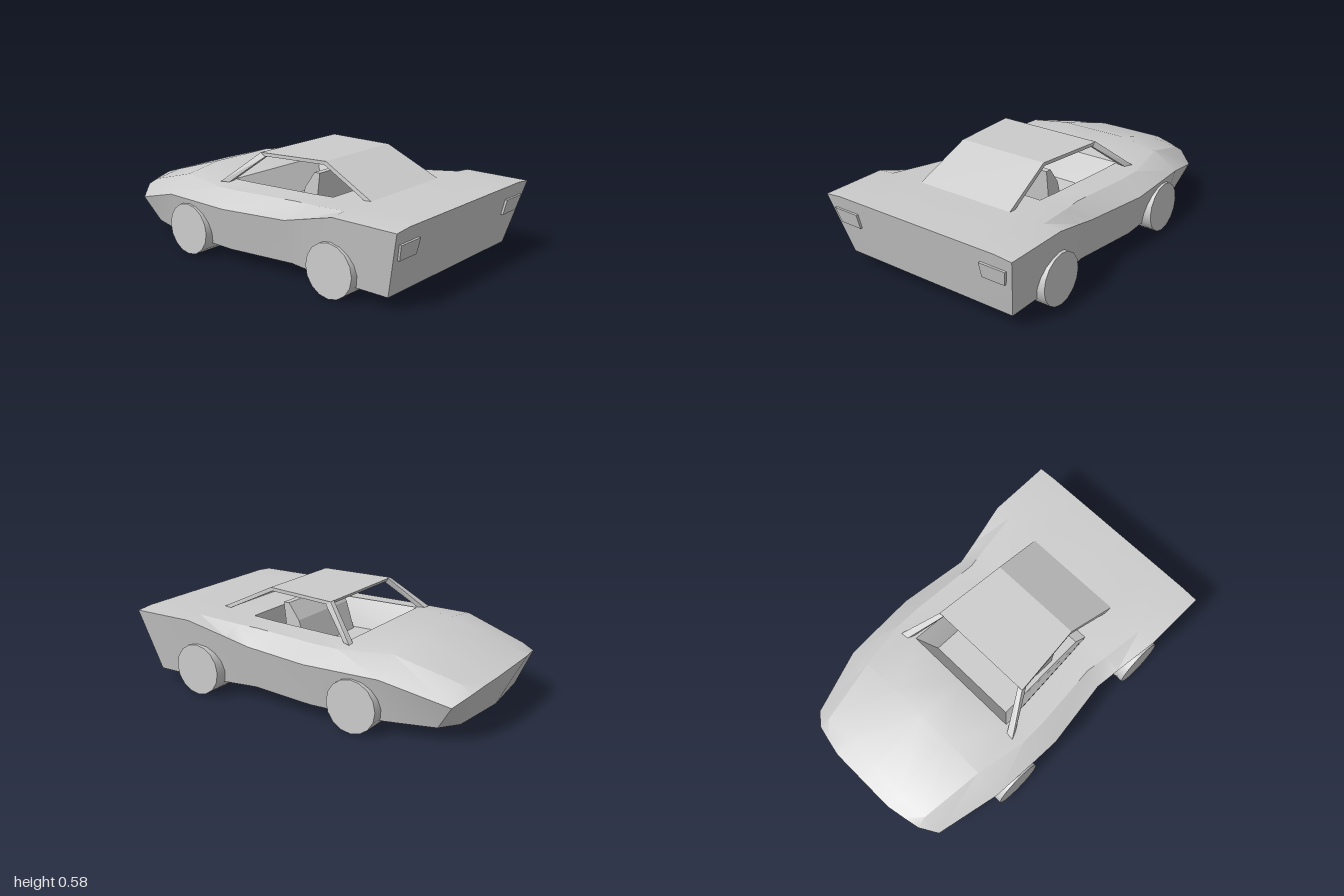
import * as THREE from 'three';
import { toCreasedNormals } from 'three/addons/utils/BufferGeometryUtils.js';
import { ConvexGeometry } from 'three/addons/geometries/ConvexGeometry.js';

const grey = () => new THREE.MeshStandardMaterial({ color: 0xcccccc });
const flip = ([x, y, z]) => [-x, y, z];

function addMesh(group, name, geometry) {
  const mesh = new THREE.Mesh(geometry, grey());
  mesh.name = name;
  group.add(mesh);
  return mesh;
}

// Convex solid around a few corners
function hull(group, name, points) {
  return addMesh(group, name, new ConvexGeometry(points.map(p => new THREE.Vector3(...p))));
}

// Collects polygons of the left half and mirrors them to the right
function mirroredSurface(build) {
  const pos = [];
  const tri = (a, b, c) => pos.push(...a, ...b, ...c, ...flip(a), ...flip(c), ...flip(b));
  build((...p) => { for (let i = 1; i < p.length - 1; i++) tri(p[0], p[i], p[i + 1]); });
  const geo = new THREE.BufferGeometry();
  geo.setAttribute('position', new THREE.Float32BufferAttribute(pos, 3));
  return toCreasedNormals(geo, 0.45);
}

// Half section: deck centre, inner deck, outer deck, shoulder, sill, floor centre
function section(z, centreY, inner, outer, shoulder, sillX, sillZ = z) {
  return [[0, centreY, z], [...inner, z], [...outer, z], [...shoulder, z],
    [sillX, 0.075, sillZ], [0, 0.075, sillZ]];
}

function bodyGeometry() {
  const s = [
    section(1, 0.432, [0.31, 0.432], [0.5, 0.432], [0.6, 0.423], 0.53, 0.91),
    section(0.63, 0.432, [0.31, 0.432], [0.5, 0.432], [0.6, 0.423], 0.53),
    section(0.4, 0.415, [0.31, 0.415], [0.47, 0.41], [0.56, 0.357], 0.5),
    section(0.27, 0.41, [0.318, 0.41], [0.45, 0.4], [0.54, 0.32], 0.48),
    section(-0.12, 0.405, [0.342, 0.405], [0.48, 0.39], [0.59, 0.312], 0.53),
    section(-0.26, 0.405, [0.35, 0.405], [0.48, 0.388], [0.585, 0.312], 0.525),
    section(-0.55, 0.435, [0.2, 0.435], [0.43, 0.4], [0.57, 0.31], 0.51),
    section(-0.9, 0.327, [0.2, 0.327], [0.38, 0.3], [0.48, 0.21], 0.44, -0.81),
  ];
  // Rounded nose tip
  s.push([[0, 0.295, -1], [0.2, 0.295, -1], [0.3, 0.28, -0.98], [0.39, 0.262, -0.96],
    [0.34, 0.075, -0.885], [0, 0.075, -0.92]]);

  return mirroredSurface(face => {
    for (let i = 0; i < s.length - 1; i++) {
      for (let k = 0; k < 5; k++) {
        if (k === 0 && i >= 2 && i <= 4) continue; // cockpit opening
        face(s[i][k], s[i][k + 1], s[i + 1][k + 1], s[i + 1][k]);
      }
    }
    const [c, n, m, e, b, d] = s[0];
    face(d, b, e, m, n, c);
    const [fc, fn, fm, fe, fb, fd] = s[s.length - 1];
    face(fd, fc, fn, fm, fe, fb);

    // Cockpit tub
    const [R0, R] = s[2], [F0, F] = s[5];
    const r = [0.26, 0.25, 0.4], f = [0.27, 0.25, -0.18];
    const r0 = [0, 0.25, 0.4], f0 = [0, 0.25, -0.18];
    face(f, r, R, F);
    face(f0, f, F, F0);
    face(r, r0, R0, R);
    face(r0, r, f, f0);
  });
}

export function createModel() {
  const car = new THREE.Group();
  car.name = 'car';
  addMesh(car, 'body', bodyGeometry());

  // Roof and sloping rear panel
  const slab = (x, y, z, low = [y - 0.02, z]) =>
    [[x, y, z], [-x, y, z], [x, ...low], [-x, ...low]];
  const brow = slab(0.31, 0.57, -0.105, [0.552, -0.095]);
  const crown = slab(0.27, 0.58, 0.315, [0.56, 0.305]);
  const tail = slab(0.295, 0.43, 0.63, [0.425, 0.59]);
  hull(car, 'roof', [...brow, ...crown]);
  hull(car, 'rearRoofPanel', [...crown, ...tail]);

  // Seat bench with reclined back
  const bench = [[0.5, 0.25], [0.5, 0.215], [0.41, 0.15], [0.25, 0.1], [0.25, 0.22]];
  hull(car, 'seat', bench.flatMap(([y, z]) => [[0.24, y, z], [-0.24, y, z]]));

  for (const side of [1, -1]) {
    const name = side > 0 ? 'left' : 'right';
    const sided = pts => (side > 0 ? pts : pts.map(flip));

    // Windscreen pillar
    hull(car, name + 'WindscreenPillar', sided([
      [0.28, 0.572, -0.105], [0.31, 0.57, -0.105], [0.28, 0.552, -0.075], [0.31, 0.55, -0.075],
      [0.385, 0.4, -0.29], [0.43, 0.4, -0.295], [0.37, 0.4, -0.255], [0.41, 0.4, -0.25],
    ]));

    // Tail light
    const lamp = [[0.4, 0.355], [0.555, 0.355], [0.4, 0.27], [0.535, 0.27]];
    hull(car, name + 'TailLight', sided(lamp.flatMap(([x, y]) => {
      const z = 0.91 + (y - 0.075) * 0.252;
      return [[x, y, z - 0.02], [x, y, z + 0.014]];
    })));

    // Wheels
    for (const [end, z] of [['Rear', 0.595], ['Front', -0.4]]) {
      const wheel = addMesh(car, name + end + 'Wheel', new THREE.CylinderGeometry(0.143, 0.143, 0.18, 16));
      wheel.rotation.z = Math.PI / 2;
      wheel.position.set(side * 0.495, 0.143, z);
    }
  }
  return car;
}
